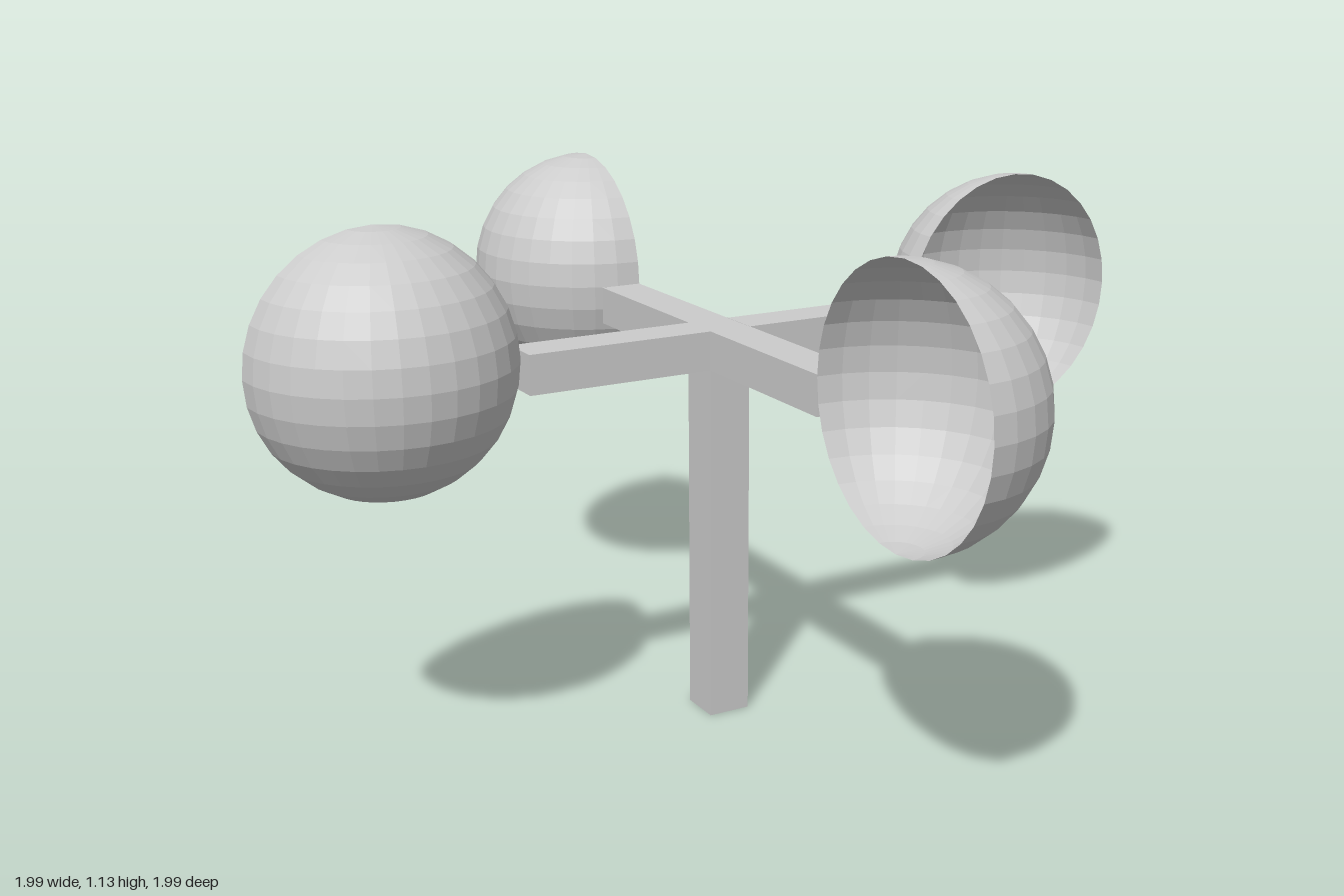
import * as THREE from 'three';

export function createModel() {
  const model = new THREE.Group();
  model.name = 'cupRotor';
  const solid = new THREE.MeshStandardMaterial({ color: 0xcccccc, flatShading: true });
  const shell = new THREE.MeshStandardMaterial({ color: 0xcccccc, flatShading: true, side: THREE.DoubleSide });

  const bar = 0.094;       // square section of post and arms
  const armTop = 0.863, armBottom = 0.78;
  const armReach = 0.455;
  const cupRadius = 0.27;

  const add = (name, geometry, material, parent) => {
    const mesh = new THREE.Mesh(geometry, material);
    mesh.name = name;
    parent.add(mesh);
    return mesh;
  };

  // Upright post, up to the underside of the hub
  add('post', new THREE.BoxGeometry(bar, armBottom, bar), solid, model)
    .position.set(-0.005, armBottom / 2, 0);

  // Hub block where the arms cross
  const armHeight = armTop - armBottom;
  const armY = (armTop + armBottom) / 2;
  add('hub', new THREE.BoxGeometry(bar, armHeight, bar), solid, model)
    .position.set(-0.005, armY, 0);

  // Four arms, each ending in an open half-sphere cup facing the same way round
  const armLength = armReach - bar / 2;
  const armGeometry = new THREE.BoxGeometry(armLength, armHeight, bar);
  const cupGeometry = new THREE.SphereGeometry(cupRadius, 16, 16, 0, Math.PI);
  ['right', 'front', 'left', 'back'].forEach((side, i) => {
    const spoke = new THREE.Group();
    spoke.name = side + 'Spoke';
    spoke.position.x = -0.004;
    spoke.rotation.y = i * Math.PI / 2;
    add(side + 'Arm', armGeometry, solid, spoke)
      .position.set(-(bar + armLength) / 2, armY, 0);
    add(side + 'Cup', cupGeometry, shell, spoke)
      .position.set(-0.726, 0.86, -0.048);
    model.add(spoke);
  });

  return model;
}
